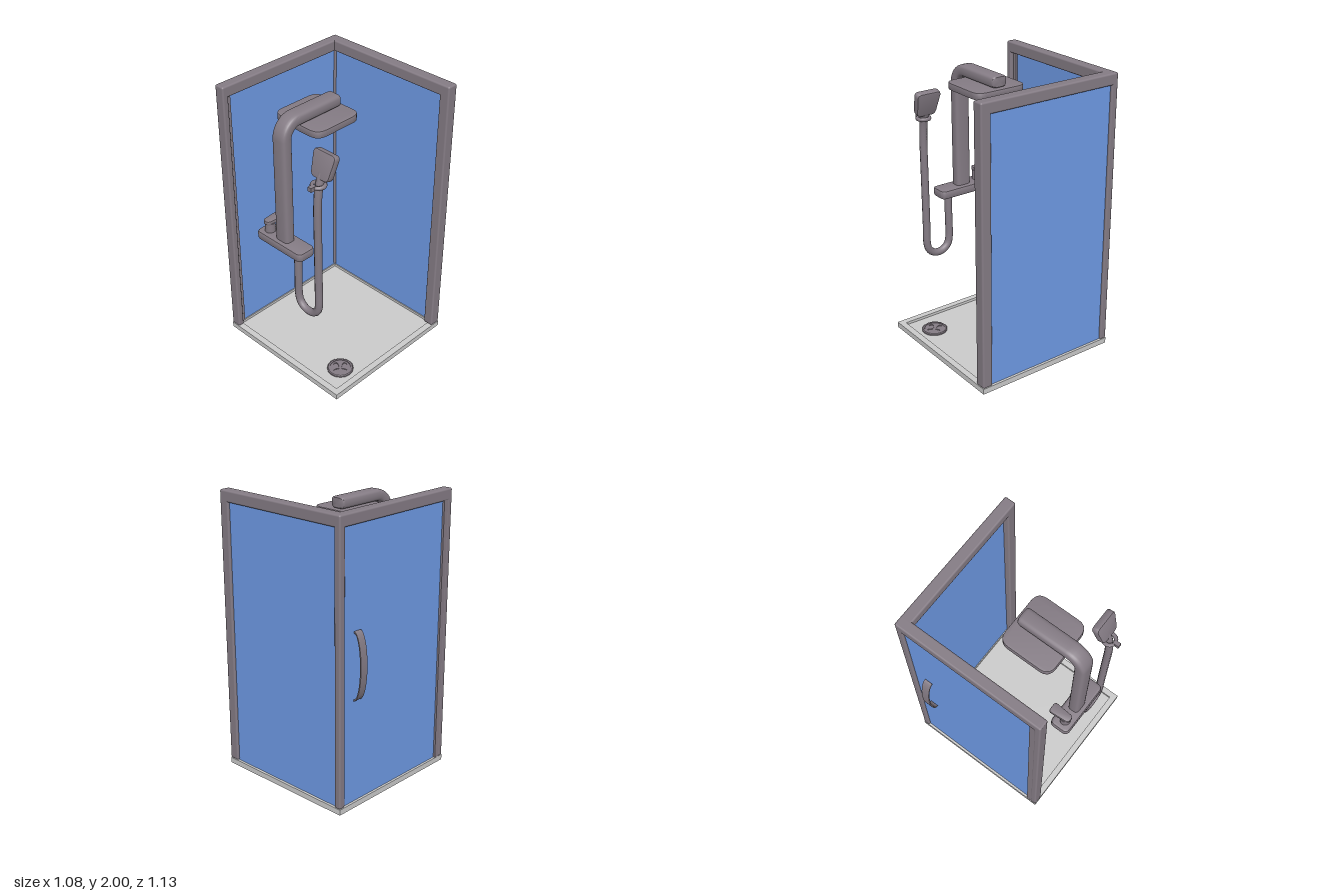
import * as THREE from 'three';
import { RoundedBoxGeometry } from 'three/addons/geometries/RoundedBoxGeometry.js';
import { toCreasedNormals } from 'three/addons/utils/BufferGeometryUtils.js';

const metal = new THREE.MeshStandardMaterial({ color: 0x857c85 });
const glass = new THREE.MeshStandardMaterial({ color: 0x6f9be6 });
const grey = new THREE.MeshStandardMaterial({ color: 0xcccccc });

// Box given by its limits, with optional rounded edges
function box(name, x, y, z, material = metal, radius = 0) {
  const s = [x, y, z].map(([a, b]) => b - a);
  const geo = radius ? new RoundedBoxGeometry(...s, 2, radius) : new THREE.BoxGeometry(...s);
  geo.translate((x[0] + x[1]) / 2, (y[0] + y[1]) / 2, (z[0] + z[1]) / 2);
  return named(name, geo, material);
}

function named(name, geo, material = metal) {
  const mesh = new THREE.Mesh(geo, material);
  mesh.name = name;
  return mesh;
}

// Rectangle with rounded corners, centred on the origin; w2 is the width of the bottom
function roundedRect(w, h, r, w2 = w) {
  const corners = [[w2 / 2, -h / 2], [w / 2, h / 2], [-w / 2, h / 2], [-w2 / 2, -h / 2]]
    .map(c => new THREE.Vector2(...c));
  const shape = new THREE.Shape();
  corners.forEach((c, i) => {
    const toward = other => c.clone().add(other.clone().sub(c).setLength(r));
    const a = toward(corners[(i + 3) % 4]), b = toward(corners[(i + 1) % 4]);
    if (i) shape.lineTo(a.x, a.y); else shape.moveTo(a.x, a.y);
    shape.quadraticCurveTo(c.x, c.y, b.x, b.y);
  });
  shape.closePath();
  return shape;
}

// Extruded shape with a small bevel, lying flat with its underside at y = 0
function slab(shape, height, bevel) {
  const geo = new THREE.ExtrudeGeometry(shape, {
    depth: height - 2 * bevel, bevelEnabled: bevel > 0, bevelSize: bevel,
    bevelThickness: bevel, bevelOffset: -bevel, bevelSegments: 2, curveSegments: 8,
  });
  return toCreasedNormals(geo.translate(0, 0, bevel).rotateX(-Math.PI / 2), 0.6);
}

// Sweep of a rounded section along stations [x, y, angle, scale] in the xy plane
function sweep(stations, a, b) {
  const n = 24, pos = [], index = [];
  const soft = v => Math.sign(v) * Math.abs(v) ** 0.55;
  stations.forEach(([x, y, t, s]) => {
    for (let j = 0; j < n; j++) {
      const u = (j / n) * Math.PI * 2;
      const p = soft(Math.cos(u)) * a * s;
      pos.push(x - Math.sin(t) * p, y + Math.cos(t) * p, soft(Math.sin(u)) * b * s);
    }
  });
  for (let i = 0; i < stations.length - 1; i++) {
    for (let j = 0; j < n; j++) {
      const p = i * n + j, q = i * n + (j + 1) % n;
      index.push(p, q, p + n, q, q + n, p + n);
    }
  }
  const geo = new THREE.BufferGeometry();
  geo.setAttribute('position', new THREE.Float32BufferAttribute(pos, 3));
  geo.setIndex(index);
  return toCreasedNormals(geo, 0.7);
}

function createTray() {
  const tray = new THREE.Group();
  tray.name = 'tray';
  const rim = roundedRect(1.08, 1.08, 0.004);
  rim.holes.push(new THREE.Path(roundedRect(0.99, 0.99, 0.004).getPoints(2)));
  const rimMesh = named('trayRim', slab(rim, 0.04, 0), grey);
  rimMesh.position.z = 0.025;
  tray.add(rimMesh, box('trayFloor', [-0.5, 0.5], [0, 0.02], [-0.47, 0.52], grey));

  // Drain with four teardrop openings
  const cover = new THREE.Shape().absarc(0, 0, 0.076, 0, Math.PI * 2);
  for (let k = 0; k < 4; k++) {
    const drop = [[0.012, 0], [0.035, -0.013], [0.052, -0.016], [0.062, 0], [0.052, 0.016], [0.035, 0.013]]
      .map(p => new THREE.Vector2(...p).rotateAround(new THREE.Vector2(), k * Math.PI / 2));
    cover.holes.push(new THREE.Path(drop));
  }
  const drain = new THREE.Group();
  drain.name = 'drain';
  const ring = [[0.074, 0], [0.092, 0], [0.092, 0.009], [0.086, 0.014], [0.074, 0.014], [0.074, 0]]
    .map(p => new THREE.Vector2(...p));
  drain.add(
    named('drainRing', toCreasedNormals(new THREE.LatheGeometry(ring, 16), 0.5)),
    named('drainCover', slab(cover, 0.009, 0)),
    named('drainBase', new THREE.CylinderGeometry(0.076, 0.076, 0.003, 24).translate(0, 0.0015, 0)),
  );
  drain.position.set(-0.32, 0.02, 0.385);
  tray.add(drain);
  return tray;
}

function createEnclosure() {
  const g = new THREE.Group();
  g.name = 'enclosure';
  const full = [0.04, 2], inner = [0.04, 1.93], top = [1.92, 2], r = 0.012;
  g.add(
    // Back wall
    box('backTopRail', [-0.54, 0.54], top, [-0.515, -0.44], metal, r),
    box('backEndPost', [-0.54, -0.495], full, [-0.515, -0.44], metal, r),
    box('backEndPostFlange', [-0.51, -0.462], inner, [-0.513, -0.465]),
    box('backGlass', [-0.47, 0.5], inner, [-0.498, -0.478], glass),
    box('cornerPost', [0.49, 0.54], full, [-0.515, -0.465], metal, r),
    // Side wall
    box('sideTopRail', [0.46, 0.54], top, [-0.515, 0.565], metal, r),
    box('sideFrontPost', [0.46, 0.54], full, [0.49, 0.565], metal, r),
    box('sideGlass', [0.502, 0.522], inner, [-0.48, 0.5], glass),
  );

  // Bowed door handle, cut from a thin curved strip
  const strip = new THREE.Shape();
  strip.absellipse(0, 0, 0.062, 0.236, -Math.PI / 2, Math.PI / 2, false);
  strip.absellipse(0, 0, 0.053, 0.226, Math.PI / 2, -Math.PI / 2, true);
  const geo = new THREE.ExtrudeGeometry(strip, { depth: 0.06, bevelEnabled: false, curveSegments: 24 });
  const handle = named('doorHandle', toCreasedNormals(geo.rotateY(Math.PI / 2), 0.5));
  handle.position.set(0.34, 1.005, -0.503);
  g.add(handle);
  return g;
}

function createShower() {
  const g = new THREE.Group();
  g.name = 'shower';

  // Column that bends over into the arm, with a softened end
  const stations = [[-0.47, 1.02, Math.PI / 2, 1]];
  for (let i = 0; i <= 10; i++) {
    const u = (i / 10) * Math.PI / 2;
    stations.push([-0.36 - 0.11 * Math.cos(u), 1.793 + 0.11 * Math.sin(u), Math.PI / 2 - u, 1]);
  }
  stations.push([-0.025, 1.903, 0, 1], [-0.011, 1.903, 0, 0.95], [-0.005, 1.903, 0, 0.82], [-0.005, 1.903, 0, 0.001]);
  const column = named('columnAndArm', sweep(stations, 0.041, 0.058));
  column.position.z = 0.022;

  const head = named('overheadShower', slab(roundedRect(0.38, 0.4, 0.075), 0.048, 0.004));
  head.position.set(-0.165, 1.813, 0.02);

  // Mixer with its lever
  const mixer = named('mixerBody', slab(roundedRect(0.145, 0.42, 0.04), 0.065, 0.016));
  mixer.position.set(-0.468, 0.977, 0.02);
  const stem = named('leverStem', new THREE.CylinderGeometry(0.036, 0.036, 0.09, 16));
  stem.position.set(-0.475, 1.065, -0.118);
  const lever = named('lever', slab(roundedRect(0.078, 0.155, 0.022, 0.055), 0.028, 0.003).rotateY(-Math.PI / 2));
  lever.position.set(-0.438, 1.105, -0.118);
  g.add(column, head, mixer, stem, lever);

  // Hose hanging in a loop and rising to the hand shower
  const path = [[-0.47, 1, 0.14], [-0.47, 0.8, 0.14], [-0.47, 0.65, 0.14]];
  for (let i = 1; i <= 6; i++) {
    const u = (i / 6) * Math.PI;
    path.push([-0.47, 0.645 - 0.095 * Math.sin(u), 0.235 - 0.095 * Math.cos(u)]);
  }
  path.push([-0.47, 0.8, 0.33], [-0.472, 1.2, 0.33], [-0.472, 1.45, 0.33], [-0.46, 1.57, 0.33], [-0.43, 1.67, 0.33]);
  const curve = new THREE.CatmullRomCurve3(path.map(p => new THREE.Vector3(...p)));
  g.add(named('hose', new THREE.TubeGeometry(curve, 80, 0.027, 10)));

  // Holder ring on its wall stub
  const ring = named('holderRing', new THREE.TorusGeometry(0.041, 0.014, 8, 20).rotateX(Math.PI / 2));
  ring.position.set(-0.462, 1.595, 0.33);
  g.add(ring, box('holderStub', [-0.54, -0.495], [1.58, 1.61], [0.315, 0.345]));

  // Hand shower, tilted towards the inside
  const plate = slab(roundedRect(0.19, 0.18, 0.035, 0.145), 0.052, 0.01);
  plate.translate(0, -0.026, 0).rotateX(Math.PI / 2).rotateY(Math.PI / 2).rotateZ(-0.3);
  const hand = named('handShower', plate);
  hand.position.set(-0.415, 1.715, 0.333);
  g.add(hand);
  return g;
}

export function createModel() {
  const model = new THREE.Group();
  model.name = 'showerCabin';
  model.add(createTray(), createEnclosure(), createShower());
  return model;
}
